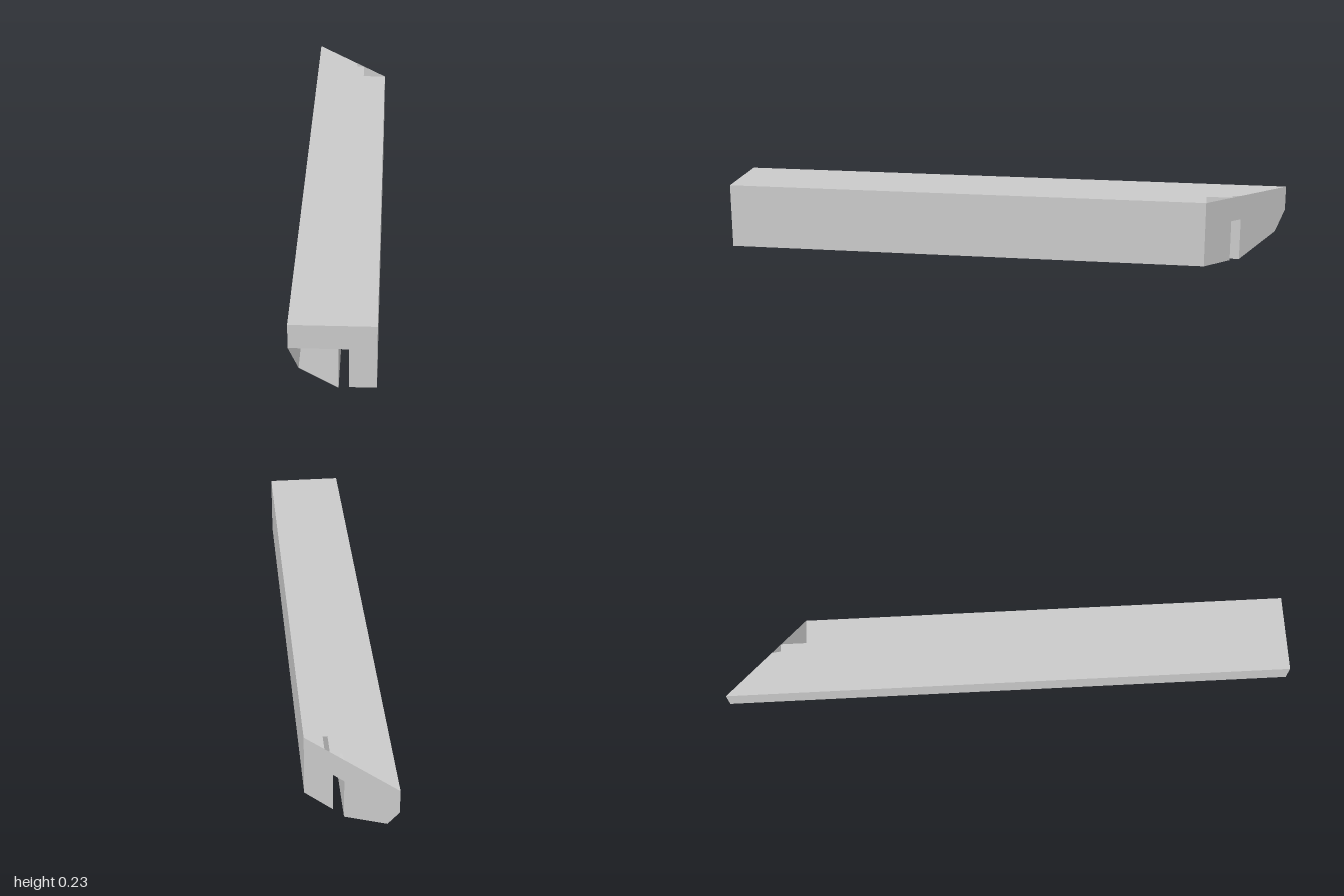
import * as THREE from 'three';

const FRONT = 1;
const miterZ = (x) => -1 + (x + 0.136) * 1.045;

// Cross-section, counter-clockwise seen from the front
const L = -0.136, R = 0.136, TOP = 0.234, SHELF = 0.148;
const SLOT_L = 0.018, SLOT_R = 0.05;
const profile = [
  [R, TOP], [L, TOP], [L, SHELF], [-0.104, 0.074], [SLOT_L, 0],
  [SLOT_L, SHELF], [SLOT_R, SHELF], [SLOT_R, 0.004], [R, 0.004],
];

export function createModel() {
  const group = new THREE.Group();
  const material = new THREE.MeshStandardMaterial({
    color: 0xcccccc, flatShading: true, side: THREE.DoubleSide,
  });

  // Flat panel from a 2D outline, placed in space by a rule
  function addPanel(name, outline, place, flip = false) {
    const shape = new THREE.Shape(outline.map(([a, b]) => new THREE.Vector2(a, b)));
    const geometry = new THREE.ShapeGeometry(shape);
    const pos = geometry.attributes.position;
    for (let i = 0; i < pos.count; i++) {
      pos.setXYZ(i, ...place(pos.getX(i), pos.getY(i)));
    }
    if (flip) geometry.index.array.reverse();
    geometry.computeVertexNormals();
    const mesh = new THREE.Mesh(geometry, material);
    mesh.name = name;
    group.add(mesh);
  }

  // Long side walls, one strip per profile edge (the top is made separately)
  const verts = [];
  for (let i = 1; i < profile.length; i++) {
    const [ax, ay] = profile[i];
    const [bx, by] = profile[(i + 1) % profile.length];
    const a = [ax, ay, FRONT], b = [bx, by, FRONT];
    const c = [bx, by, miterZ(bx)], d = [ax, ay, miterZ(ax)];
    verts.push(...a, ...d, ...c, ...a, ...c, ...b);
  }
  const walls = new THREE.BufferGeometry();
  walls.setAttribute('position', new THREE.Float32BufferAttribute(verts, 3));
  walls.computeVertexNormals();
  const wallMesh = new THREE.Mesh(walls, material);
  wallMesh.name = 'sideWalls';
  group.add(wallMesh);

  // Top panel with open notches beside the mitred end; outline is (x, -z)
  const slotZ = miterZ(SLOT_R);
  addPanel('topPanel', [
    [L, -FRONT], [R, -FRONT], [R, -miterZ(R)], [SLOT_R, -miterZ(R)],
    [SLOT_R, -slotZ], [0.023, -slotZ], [SLOT_L, -miterZ(SLOT_L)], [L, -miterZ(L)],
  ], (x, v) => [x, TOP, -v]);

  // Front cap: head and right leg only, the chamfered leg stays open
  addPanel('frontCap', [
    [R, TOP], [L, TOP], [L, SHELF], [SLOT_R, SHELF], [SLOT_R, 0.004], [R, 0.004],
  ], (x, y) => [x, y, FRONT]);

  // Mitred back cap
  addPanel('miteredEnd', profile, (x, y) => [x, y, miterZ(x)], true);

  return group;
}
